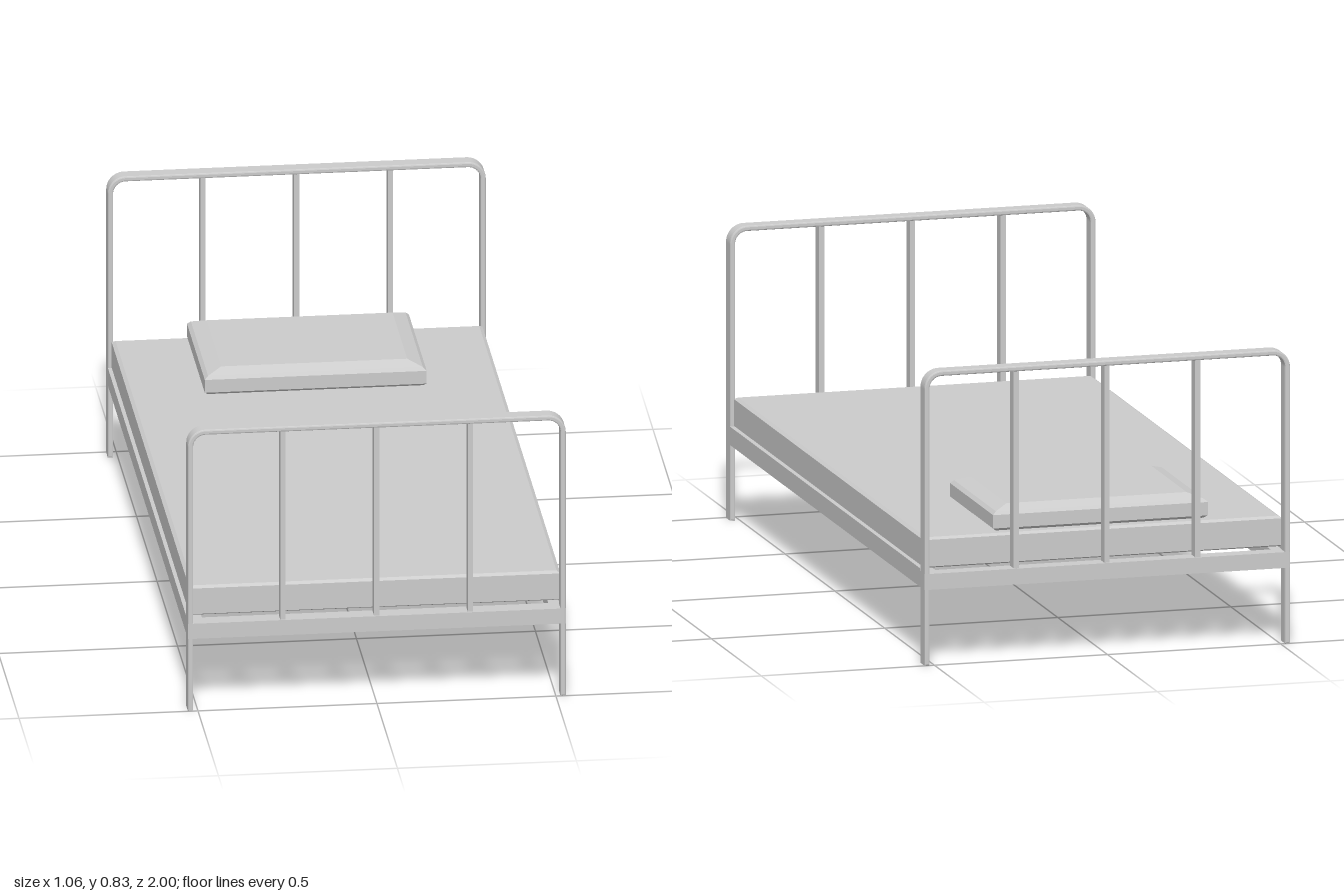
import * as THREE from 'three';

const grey = new THREE.MeshStandardMaterial({ color: 0xcccccc });

function add(parent, name, geometry, x = 0, y = 0, z = 0) {
  const mesh = new THREE.Mesh(geometry, grey);
  mesh.name = name;
  mesh.position.set(x, y, z);
  parent.add(mesh);
  return mesh;
}

// Block with chamfered edges, lofted through rectangles [halfWidth, halfDepth, y]
function chamferedBlock(rings) {
  const corners = rings.map(([w, d, y]) =>
    [[w, d], [w, -d], [-w, -d], [-w, d]].map(([x, z]) => [x, y, z]));
  const points = [];
  const quad = (a, b, c, d) => points.push(...a, ...b, ...c, ...a, ...c, ...d);
  for (let i = 0; i < rings.length - 1; i++) {
    for (let k = 0; k < 4; k++) {
      const n = (k + 1) % 4;
      quad(corners[i][k], corners[i][n], corners[i + 1][n], corners[i + 1][k]);
    }
  }
  const [a, b, c, d] = corners[0];
  quad(d, c, b, a);
  quad(...corners[corners.length - 1]);
  const geometry = new THREE.BufferGeometry();
  geometry.setAttribute('position', new THREE.Float32BufferAttribute(points, 3));
  geometry.computeVertexNormals();
  return geometry;
}

// Flat bar bent into an arch: two legs joined by a rounded top
function archGeometry() {
  const w = 0.528, h = 0.835, t = 0.015, r = 0.05, depth = 0.046, bevel = 0.004;
  const s = new THREE.Shape();
  s.moveTo(w, 0);
  s.lineTo(w, h - r);
  s.absarc(w - r, h - r, r, 0, Math.PI / 2, false);
  s.lineTo(-w + r, h);
  s.absarc(-w + r, h - r, r, Math.PI / 2, Math.PI, false);
  s.lineTo(-w, 0);
  s.lineTo(-w + t, 0);
  s.lineTo(-w + t, h - r);
  s.absarc(-w + r, h - r, r - t, Math.PI, Math.PI / 2, true);
  s.lineTo(w - r, h - t);
  s.absarc(w - r, h - r, r - t, Math.PI / 2, 0, true);
  s.lineTo(w - t, 0);
  s.closePath();
  const geometry = new THREE.ExtrudeGeometry(s, {
    depth: depth - 2 * bevel, curveSegments: 10, bevelEnabled: true,
    bevelThickness: bevel, bevelSize: bevel, bevelOffset: -bevel, bevelSegments: 2,
  });
  geometry.translate(0, 0, bevel - depth / 2);
  return geometry;
}

export function createModel() {
  const bed = new THREE.Group();
  bed.name = 'bed';

  // Headboard and footboard: arch, crossbar and three spindles
  for (const [name, side] of [['headboard', -1], ['footboard', 1]]) {
    const end = new THREE.Group();
    end.name = name;
    end.position.z = side * 0.977;
    add(end, 'arch', archGeometry());
    add(end, 'crossbar', new THREE.BoxGeometry(1.04, 0.045, 0.046), 0, 0.2375, 0);
    for (const x of [-0.262, 0, 0.262]) {
      add(end, 'spindle', new THREE.BoxGeometry(0.015, 0.57, 0.036), x, 0.54, 0);
    }
    bed.add(end);
  }

  // Side rails with a thin lip beside the mattress
  for (const side of [-1, 1]) {
    add(bed, 'sideRail', new THREE.BoxGeometry(0.044, 0.045, 1.998), side * 0.506, 0.2375, 0);
    add(bed, 'sideRailLip', new THREE.BoxGeometry(0.013, 0.009, 1.91), side * 0.5215, 0.263, 0);
  }

  // Mattress with slightly softened edges
  add(bed, 'mattress', chamferedBlock([
    [0.512, 0.946, 0.266], [0.518, 0.952, 0.27], [0.518, 0.952, 0.346], [0.508, 0.942, 0.352],
  ]));

  // Pillow with a broad bevel on top
  add(bed, 'pillow', chamferedBlock([
    [0.3, 0.208, 0.354], [0.31, 0.218, 0.362], [0.31, 0.218, 0.4],
    [0.3, 0.21, 0.409], [0.26, 0.178, 0.423],
  ]), 0, 0, -0.712);

  return bed;
}
